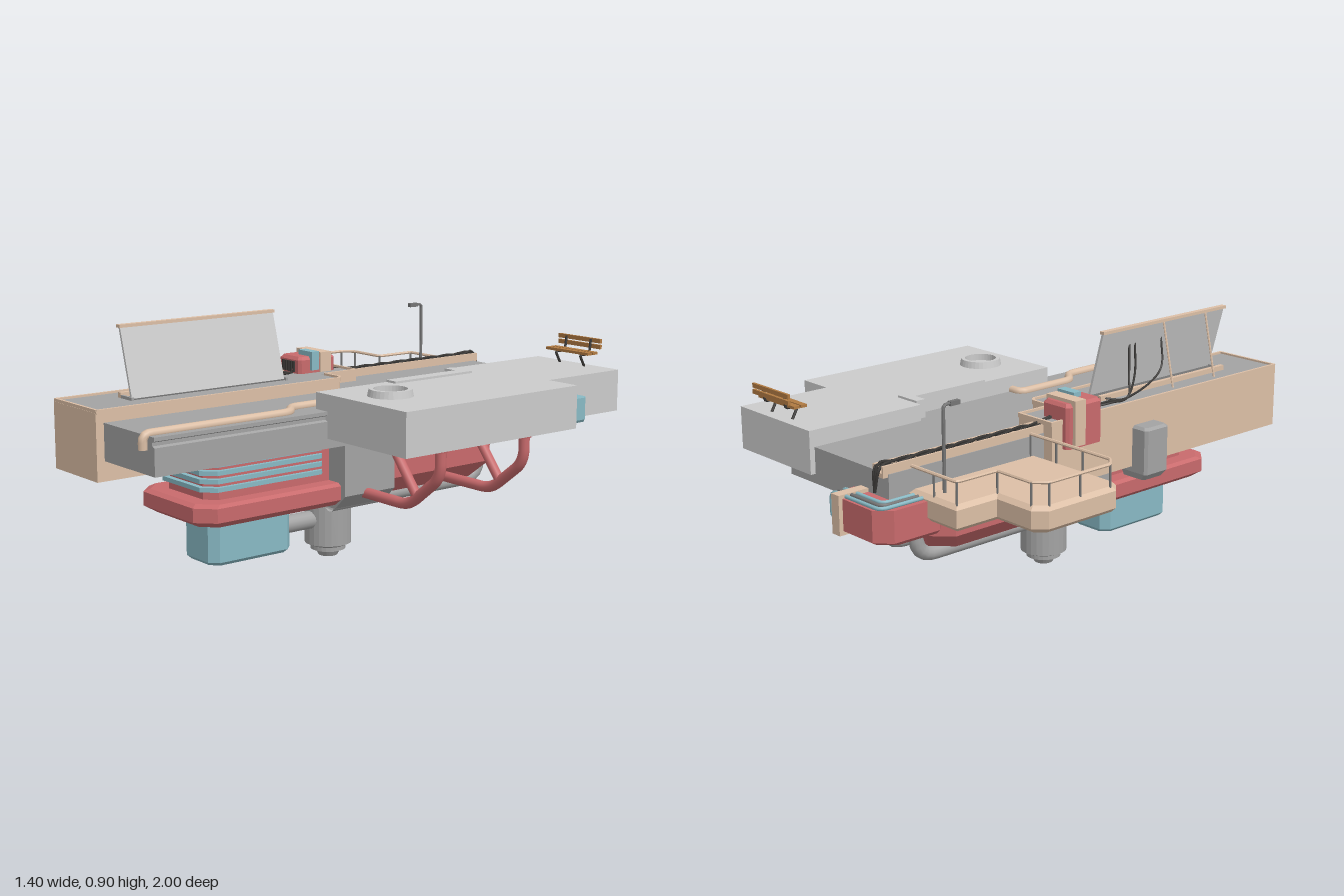
import * as THREE from 'three';

const mat = (color) => new THREE.MeshStandardMaterial({ color, flatShading: true, side: THREE.DoubleSide });
const M = {
  grey: mat(0xcccccc), mid: mat(0xa3a3a3), dark: mat(0x757575), black: mat(0x3a3836),
  red: mat(0xc86a6c), tan: mat(0xdcbfa6), teal: mat(0x88b9c4), wood: mat(0xb07a42),
};
const smooth = {};
for (const k in M) { smooth[k] = M[k].clone(); smooth[k].flatShading = false; }

export function createModel() {
  const root = new THREE.Group();
  const add = (name, geo, m, parent = root) => {
    const mesh = new THREE.Mesh(geo, m);
    mesh.name = name;
    parent.add(mesh);
    return mesh;
  };
  const group = (name) => {
    const g = new THREE.Group();
    g.name = name;
    root.add(g);
    return g;
  };
  // box from its limits
  const box = (name, m, x0, x1, y0, y1, z0, z1, parent) =>
    add(name, new THREE.BoxGeometry(x1 - x0, y1 - y0, z1 - z0)
      .translate((x0 + x1) / 2, (y0 + y1) / 2, (z0 + z1) / 2), m, parent);
  const shapeOf = (pts) => new THREE.Shape(pts.map(([x, y]) => new THREE.Vector2(x, y)));
  // plan outline [x, z] raised from y0 to y1
  const slab = (name, m, pts, y0, y1, bevel = 0, parent) => {
    const g = new THREE.ExtrudeGeometry(shapeOf(pts.map(([x, z]) => [x, -z])), {
      depth: y1 - y0 - 2 * bevel, bevelEnabled: bevel > 0, bevelSize: bevel, bevelOffset: -bevel,
      bevelThickness: bevel, bevelSegments: 1 });
    return add(name, g.rotateX(-Math.PI / 2).translate(0, y0 + bevel, 0), m, parent);
  };
  // front outline [x, y] run from z0 to z1
  const run = (name, m, pts, z0, z1, parent) =>
    add(name, new THREE.ExtrudeGeometry(shapeOf(pts), { depth: z1 - z0, bevelEnabled: false }).translate(0, 0, z0), m, parent);
  // stacked eight-sided rings: [y, x0, x1, z0, z1, cornerCut]
  const loft = (name, m, rings, parent) => {
    const pos = [], idx = [], top = (rings.length - 1) * 8;
    for (const [y, x0, x1, z0, z1, c] of rings)
      for (const [x, z] of [[x1, z1 - c], [x1, z0 + c], [x1 - c, z0], [x0 + c, z0],
        [x0, z0 + c], [x0, z1 - c], [x0 + c, z1], [x1 - c, z1]]) pos.push(x, y, z);
    for (let r = 0; r < top; r += 8)
      for (let i = 0; i < 8; i++) {
        const j = (i + 1) % 8;
        idx.push(r + i, r + j, r + 8 + j, r + i, r + 8 + j, r + 8 + i);
      }
    for (let i = 1; i < 7; i++) idx.push(0, i + 1, i, top, top + i, top + i + 1);
    const g = new THREE.BufferGeometry();
    g.setAttribute('position', new THREE.Float32BufferAttribute(pos, 3));
    g.setIndex(idx);
    g.computeVertexNormals();
    return add(name, g, m, parent);
  };
  // tube along straight legs with rounded bends
  const pipe = (name, m, pts, r, bend = 0.05, parent, sides = 10) => {
    const v = pts.map((p) => new THREE.Vector3(...p)), path = new THREE.CurvePath();
    let from = v[0];
    for (let i = 1; i < v.length - 1; i++) {
      const toward = (q) => v[i].clone().add(q.clone().sub(v[i]).setLength(Math.min(bend, q.distanceTo(v[i]) * 0.45)));
      const a = toward(v[i - 1]), b = toward(v[i + 1]);
      path.add(new THREE.LineCurve3(from, a));
      path.add(new THREE.QuadraticBezierCurve3(a, v[i], b));
      from = b;
    }
    path.add(new THREE.LineCurve3(from, v[v.length - 1]));
    return add(name, new THREE.TubeGeometry(path, v.length < 3 ? 1 : v.length * 14, r, sides), m, parent);
  };
  const cable = (name, pts, r, parent) => add(name, new THREE.TubeGeometry(
    new THREE.CatmullRomCurve3(pts.map((p) => new THREE.Vector3(...p))), 40, r, 6), smooth.black, parent);

  // main deck with grooved edges
  run('deck', M.mid, [[-0.26, 0.48], [0.29, 0.48], [0.29, 0.575], [0.278, 0.58], [0.278, 0.592], [0.29, 0.597],
    [0.29, 0.61], [-0.26, 0.61]], -0.88, 0.97);

  // long side block with a lipped top
  const block = [[-0.3, 1], [-0.02, 1], [-0.02, -0.03], [-0.04, -0.05], [-0.13, -0.05], [-0.13, -0.2], [-0.3, -0.2]];
  slab('sideBlock', M.tan, block, 0.41, 0.645);
  slab('sideBlockTop', M.mid, [[-0.29, 0.99], [-0.03, 0.99], [-0.03, -0.025], [-0.045, -0.04], [-0.14, -0.04],
    [-0.14, -0.19], [-0.29, -0.19]], 0.64, 0.649);
  const lip = group('blockLip');
  block.forEach(([x, z], i) => {
    const [u, w] = block[(i + 1) % block.length];
    const e = box('lipEdge', M.tan, -0.005, 0.005, 0.64, 0.656, -Math.hypot(u - x, w - z) / 2, Math.hypot(u - x, w - z) / 2, lip);
    e.position.set((x + u) / 2 * 0.985 - 0.002, 0, (z + w) / 2 * 0.994);
    e.rotation.y = Math.atan2(u - x, w - z);
  });

  // opened hatch and its bay
  const hatch = group('hatch');
  box('bay', M.dark, -0.19, -0.13, 0.645, 0.653, 0.14, 0.79, hatch);
  box('bayRail', M.tan, -0.207, -0.19, 0.645, 0.668, 0.13, 0.8, hatch);
  for (const z of [0.13, 0.79]) box('bayEnd', M.mid, -0.19, -0.12, 0.645, 0.66, z, z + 0.01, hatch);
  run('hatchPanel', M.grey, [[-0.135, 0.655], [-0.125, 0.655], [-0.193, 0.9], [-0.203, 0.9]], 0.145, 0.795, hatch);
  box('hatchCap', M.tan, -0.209, -0.187, 0.893, 0.904, 0.14, 0.8, hatch);
  for (const z of [0.46, 0.69])
    pipe('hatchStay', M.tan, [[-0.2, 0.895, z], [-0.255, 0.65, z]], 0.004, 0, hatch, 6);
  for (const [z, s] of [[0.27, 0.02], [0.3, -0.06], [0.44, -0.04]])
    cable('hatchCable', [[-0.24, 0.65, 0.02], [-0.21 + s, 0.66, 0.12], [-0.25, 0.655, 0.22], [-0.21, 0.72, z], [-0.18, 0.83, z + 0.03]], 0.004, hatch);

  // wide platform
  slab('platform', M.grey, [[0.145, -0.9], [0.56, -0.9], [0.56, -0.53], [0.7, -0.53], [0.7, 0.27], [0.225, 0.27],
    [0.225, -0.42], [0.145, -0.42]], 0.515, 0.67);
  slab('platformStep', M.grey, [[0.17, -0.42], [0.275, -0.42], [0.275, -0.05], [0.225, -0.05], [0.225, -0.38], [0.17, -0.38]], 0.61, 0.678);
  const ring = [[0.06, 0.67], [0.06, 0.695], [0.075, 0.695], [0.08, 0.67]].map(([x, y]) => new THREE.Vector2(x, y));
  add('hatchRing', new THREE.LatheGeometry(ring, 32), M.grey).position.set(0.44, 0, 0.115);
  loft('sideTank', M.teal, [[0.52, 0.53, 0.65, -0.64, -0.53, 0.02], [0.53, 0.53, 0.657, -0.64, -0.525, 0.02],
    [0.61, 0.53, 0.657, -0.64, -0.525, 0.02]]);
  pipe('tankPipe', smooth.tan, [[0.54, 0.635, -0.57], [0.605, 0.635, -0.57], [0.605, 0.59, -0.57]], 0.02, 0.03);

  // bench
  const bench = group('bench');
  for (const z of [-0.84, -0.87]) box('seatSlat', M.wood, 0.255, 0.47, 0.718, 0.728, z - 0.012, z + 0.012, bench);
  for (const y of [0.736, 0.758]) box('backSlat', M.wood, 0.255, 0.47, y, y + 0.016, -0.905, -0.895, bench);
  for (const x of [0.3, 0.425])
    pipe('benchLeg', M.black, [[x, 0.67, -0.86], [x, 0.714, -0.835], [x, 0.714, -0.885], [x, 0.77, -0.893]], 0.005, 0.01, bench, 6);

  // hull, saddle and louvre stack
  loft('rearHull', M.red, [[0.245, -0.16, 0.16, -0.59, 0.1, 0.07], [0.31, -0.22, 0.22, -0.64, 0.1, 0.07],
    [0.48, -0.22, 0.22, -0.64, 0.1, 0.07]]);
  loft('frontHull', M.red, [[0.24, -0.18, 0.18, 0.05, 0.7, 0.05], [0.265, -0.215, 0.215, 0.05, 0.74, 0.06],
    [0.315, -0.215, 0.215, 0.05, 0.74, 0.06], [0.325, -0.2, 0.2, 0.05, 0.72, 0.06]]);
  loft('louvreCore', M.red, [[0.3, -0.145, 0.145, 0.1, 0.665, 0.04], [0.48, -0.145, 0.145, 0.1, 0.665, 0.04]]);
  for (let i = 0; i < 5; i++) {
    const y = 0.355 + i * 0.029;
    loft('louvre', M.teal, [[y, -0.16, 0.16, 0.15, 0.685, 0.045], [y + 0.016, -0.16, 0.16, 0.15, 0.685, 0.045]]);
  }
  run('saddle', M.mid, [[-0.238, 0.48], [-0.238, 0.28], [-0.18, 0.225], [0.18, 0.225], [0.238, 0.28], [0.238, 0.48]], -0.08, 0.15);

  // under-slung tank, thruster and pipes
  loft('lowerTank', M.teal, [[0.072, -0.085, 0.085, 0.28, 0.61, 0.03], [0.085, -0.097, 0.097, 0.27, 0.622, 0.03],
    [0.26, -0.097, 0.097, 0.27, 0.622, 0.03]]);
  const thruster = [[0, 0], [0.035, 0], [0.045, 0.018], [0.045, 0.025], [0.065, 0.025], [0.065, 0.04], [0.087, 0.05],
    [0.087, 0.22], [0.11, 0.225], [0.11, 0.24]].map(([x, y]) => new THREE.Vector2(x, y));
  add('thruster', new THREE.LatheGeometry(thruster, 24), M.mid).position.z = 0.04;
  pipe('tankLink', smooth.mid, [[0, 0.145, 0.28], [0, 0.145, 0.04]], 0.033, 0, undefined, 16);
  for (const x of [-0.085, 0.085])
    pipe('exhaustPipe', smooth.mid, [[x, 0.215, 0.1], [x, 0.215, -0.638], [x, 0.49, -0.638]], 0.027, 0.08, undefined, 14);

  // platform braces
  for (const z of [0.045, -0.35]) {
    const g = group('brace');
    pipe('braceArm', smooth.red, [[0.18, 0.278, z], [0.46, 0.278, z], [0.622, 0.405, z], [0.622, 0.515, z]], 0.02, 0.05, g, 12);
    pipe('braceFork', smooth.red, [[0.5, 0.32, z], [0.335, 0.52, z]], 0.018, 0, g, 12);
    add('braceFoot', new THREE.CylinderGeometry(0.03, 0.026, 0.022, 12).translate(0.622, 0.506, z), M.red, g);
  }

  // balcony with railing and lamp
  const balcony = group('balcony');
  const edge = [[-0.26, -0.8], [-0.5, -0.8], [-0.5, -0.63], [-0.66, -0.63], [-0.7, -0.59], [-0.7, -0.29], [-0.66, -0.25], [-0.26, -0.25]];
  slab('balconyFloor', M.tan, edge, 0.455, 0.545, 0.015, balcony);
  const rail = edge.map(([x, z]) => [x + (x < -0.27 ? 0.014 : 0), 0.62, z + (z < -0.5 ? 0.014 : -0.014)]);
  pipe('handrail', M.tan, rail, 0.006, 0.01, balcony, 6);
  rail.slice(1).forEach(([x, , z], i) => {
    const [u, , w] = rail[i], n = Math.max(1, Math.round(Math.hypot(u - x, w - z) / 0.13));
    for (let k = 0; k < n; k++) {
      const px = x + (u - x) * k / n, pz = z + (w - z) * k / n;
      pipe('railPost', M.dark, [[px, 0.53, pz], [px, 0.62, pz]], 0.004, 0, balcony, 6);
    }
  });
  pipe('lampPost', M.dark, [[-0.37, 0.53, -0.74], [-0.37, 0.838, -0.74], [-0.37, 0.838, -0.69]], 0.006, 0.015, balcony, 8);
  box('lampHead', M.dark, -0.378, -0.362, 0.83, 0.845, -0.715, -0.675, balcony);

  // rear corner unit with wrapped pipes
  const rear = group('rearUnit');
  loft('rearBox', M.red, [[0.4, -0.34, -0.09, -0.96, -0.7, 0.05], [0.415, -0.355, -0.075, -0.985, -0.7, 0.05],
    [0.525, -0.355, -0.075, -0.985, -0.7, 0.05]], rear);
  box('rearStrap', M.tan, -0.15, -0.11, 0.4, 0.538, -1, -0.82, rear);
  [['teal', 0], ['dark', 0.022], ['teal', 0.044]].forEach(([c, d]) => {
    pipe('topPipe', smooth[c], [[-0.33 + d, 0.53, -0.8], [-0.33 + d, 0.53, -0.97 + d], [-0.07, 0.53, -0.97 + d],
      [-0.07, 0.43 + d, -0.97 + d], [-0.07, 0.43 + d, -0.72]], 0.007, 0.03, rear, 8);
  });

  // deck-side machine
  const machine = group('machine');
  loft('machineBody', M.red, [[0.55, -0.325, -0.195, -0.15, 0.02, 0.01], [0.7, -0.325, -0.195, -0.15, 0.02, 0.01],
    [0.712, -0.315, -0.205, -0.14, 0.01, 0.01]], machine);
  box('machineBand', M.tan, -0.338, -0.19, 0.56, 0.724, -0.125, -0.075, machine);
  box('machineCap', M.teal, -0.268, -0.185, 0.66, 0.73, -0.065, -0.03, machine);
  for (let i = 0; i < 5; i++) box('vent', M.black, -0.297 + i * 0.016, -0.289 + i * 0.016, 0.655, 0.695, 0, 0.026, machine);

  // cable tray along the deck
  const tray = group('cableTray');
  for (const x of [-0.257, -0.212]) box('trayWall', M.tan, x, x + 0.008, 0.6, 0.64, -0.9, -0.19, tray);
  box('trayFloor', M.tan, -0.257, -0.204, 0.6, 0.615, -0.9, -0.19, tray);
  for (let k = 0; k < 4; k++) {
    const pts = [[-0.23, 0.55, -0.915]];
    for (let i = 0; i <= 10; i++)
      pts.push([-0.231 + 0.013 * Math.sin(i * 1.3 + k * 1.6), 0.635 + 0.008 * Math.cos(i * 1.3 + k * 1.6), -0.9 + i * 0.07]);
    cable('trayCable', [...pts, [-0.24, 0.66, -0.13]], 0.005, tray);
  }

  // surface duct on the deck
  const duct = [[0.23, 0.085], [0.175, 0.085], [0.175, 0.34], [0.245, 0.4], [0.245, 0.985]];
  pipe('deckDuct', smooth.tan, [...duct.map(([x, z]) => [x, 0.615, z]), [0.245, 0.565, 0.985]], 0.016, 0.03);

  // wall cabinet on the side block
  loft('cabinet', M.mid, [[0.365, -0.35, -0.24, 0.21, 0.31, 0.01], [0.39, -0.37, -0.24, 0.2, 0.32, 0.01],
    [0.555, -0.37, -0.24, 0.2, 0.32, 0.01], [0.565, -0.36, -0.24, 0.21, 0.31, 0.01]]);
  pipe('cabinetDrain', smooth.tan, [[-0.255, 0.42, 0.26], [-0.255, 0.35, 0.26]], 0.014, 0);
  return root;
}
